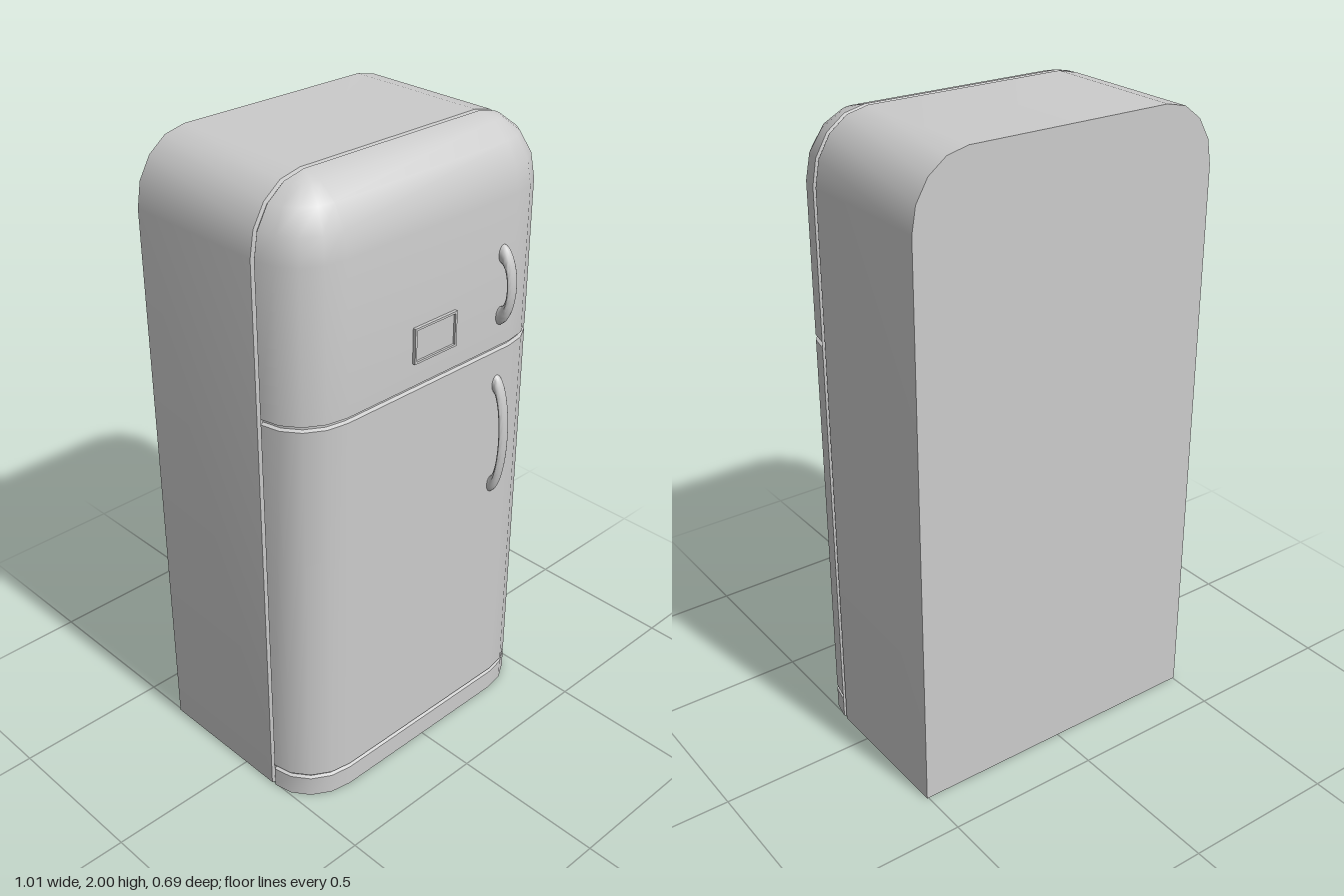
import * as THREE from 'three';
import { toCreasedNormals } from 'three/addons/utils/BufferGeometryUtils.js';

const material = new THREE.MeshStandardMaterial({ color: 0xcccccc, side: THREE.DoubleSide });

const FLAT_X = 0.33;      // half width of the flat part of the front and top
const RX = 0.175, RY = 0.2, RZ = 0.158; // corner radii
const SHOULDER = 1.8;     // height where the top rounding starts
const SEAM_Z = 0.142;     // back edge of the doors
const BACK_Z = -0.345;
const GROOVE = 0.01;      // depth of the seams
const SEG = 4;            // segments per rounded corner

function add(parent, name, geometry) {
  const mesh = new THREE.Mesh(geometry, material);
  mesh.name = name;
  parent.add(mesh);
  return mesh;
}

// Skin over rows of equally many points
function loft(rows) {
  const n = rows[0].length, index = [];
  for (let j = 0; j < rows.length - 1; j++) {
    for (let i = 0; i < n - 1; i++) {
      const a = j * n + i, b = a + 1, c = a + n, d = c + 1;
      index.push(a, b, d, a, d, c);
    }
  }
  const g = new THREE.BufferGeometry();
  g.setAttribute('position', new THREE.Float32BufferAttribute(rows.flat(2), 3));
  g.setIndex(index);
  return toCreasedNormals(g, 0.6);
}

// Arch outline of the cabinet, from the +x foot over the top to the -x foot
function arch(inset) {
  const half = [[FLAT_X + RX - inset, 0]];
  for (let i = 0; i <= SEG; i++) {
    const t = (i / SEG) * Math.PI / 2;
    half.push([FLAT_X + (RX - inset) * Math.cos(t), SHOULDER + (RY - inset) * Math.sin(t)]);
  }
  return [...half, ...half.slice().reverse().map(([x, y]) => [-x, y])];
}

// Horizontal section of the rounded front, from -x to +x; k shrinks it in the dome
function frontSection(y, inset, k = 1) {
  const half = [];
  for (let i = 0; i <= SEG; i++) {
    const t = (i / SEG) * Math.PI / 2;
    half.push([FLAT_X + (RX - inset) * k * Math.cos(t), y, SEAM_Z + (RZ - inset) * k * Math.sin(t)]);
  }
  return [...half.map(([x, py, z]) => [-x, py, z]), ...half.reverse()];
}

// C-shaped grip: elliptical rings between an outer and an inner arc
function handle(yMid, halfHeight) {
  const rows = [];
  for (let j = 0; j <= 24; j++) {
    const t = (j / 24) * Math.PI, ring = [];
    for (let i = 0; i <= 14; i++) {
      const a = (i / 14) * Math.PI * 2, m = (1 + Math.sin(a)) / 2;
      const h = halfHeight - 0.058 * (1 - m);
      const depth = 0.035 + 0.018 * m;
      ring.push([0.28 + 0.019 * Math.cos(a), yMid + h * Math.cos(t), 0.295 + depth * Math.sin(t)]);
    }
    rows.push(ring);
  }
  return loft(rows);
}

export function createModel() {
  const model = new THREE.Group();
  model.name = 'refrigerator';

  // Cabinet shell, open below, with the groove that separates it from the doors
  const shell = [[BACK_Z, 0], [0.127, 0], [0.131, GROOVE], [0.138, GROOVE], [SEAM_Z, 0]];
  add(model, 'cabinet', loft(shell.map(([z, d]) => arch(d).map(([x, y]) => [x, y, z]))));

  // Flat back
  const outline = new THREE.Shape(arch(0).map(([x, y]) => new THREE.Vector2(-x, y)));
  const back = add(model, 'backPanel', new THREE.ShapeGeometry(outline));
  back.rotation.y = Math.PI;
  back.position.z = BACK_Z;

  // Front panels as [height, inset] levels
  const sections = (levels) => levels.map(([y, d]) => frontSection(y, d));
  add(model, 'basePanel', loft(sections([[0, 0], [0.068, 0], [0.073, GROOVE]])));
  add(model, 'lowerDoor', loft(sections([
    [0.073, GROOVE], [0.079, GROOVE], [0.084, 0], [1.322, 0], [1.327, GROOVE]])));

  // Upper door with its domed top
  const upper = sections([[1.327, GROOVE], [1.334, GROOVE], [1.339, 0]]);
  for (let i = 0; i <= SEG; i++) {
    const t = (i / SEG) * Math.PI / 2;
    upper.push(frontSection(SHOULDER + RY * Math.sin(t), 0, Math.cos(t)));
  }
  add(model, 'upperDoor', loft(upper));

  // Handles
  add(model, 'upperHandle', handle(1.535, 0.127));
  add(model, 'lowerHandle', handle(1.035, 0.207));

  // Framed plate on the upper door
  const rect = (s, w, h) => s.moveTo(-w, -h).lineTo(w, -h).lineTo(w, h).lineTo(-w, h).closePath();
  const frame = rect(new THREE.Shape(), 0.084, 0.055);
  frame.holes.push(rect(new THREE.Path(), 0.077, 0.048));
  add(model, 'plateFrame', new THREE.ExtrudeGeometry(frame, { depth: 0.012, bevelEnabled: false }))
    .position.set(0, 1.467, 0.298);
  add(model, 'plate', new THREE.BoxGeometry(0.156, 0.098, 0.005)).position.set(0, 1.467, 0.3005);

  return model;
}
